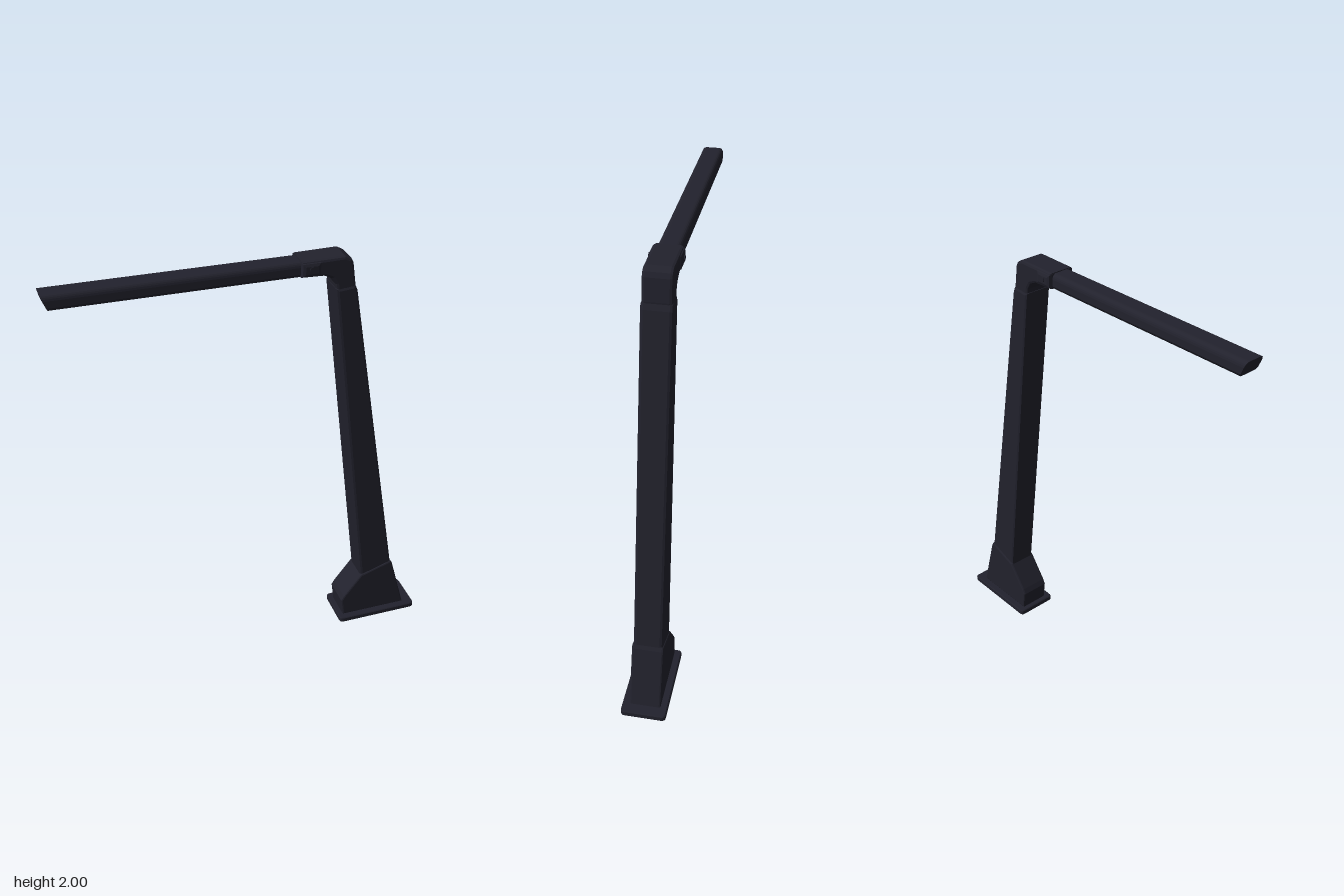
import * as THREE from 'three';

const body = new THREE.MeshStandardMaterial({ color: 0x22222d });
body.name = 'darkNavy';

// Side outline in x/y, extruded to a total width in z with chamfered edges
function slab(name, points, width, bevel) {
  const shape = new THREE.Shape(points.map(([x, y]) => new THREE.Vector2(x, y)));
  const geo = new THREE.ExtrudeGeometry(shape, {
    depth: width - 2 * bevel, bevelEnabled: true, bevelThickness: bevel,
    bevelSize: bevel, bevelOffset: -bevel, bevelSegments: 2,
  });
  geo.translate(0, 0, -width / 2 + bevel);
  const mesh = new THREE.Mesh(geo, body);
  mesh.name = name;
  return mesh;
}

// Arm: a rounded section swept along x with a slanted tip
function makeArm() {
  const s = new THREE.Shape();
  s.moveTo(-0.049, 1.945);
  s.lineTo(-0.04, 1.932);
  s.lineTo(0.04, 1.932);
  s.lineTo(0.049, 1.945);
  s.lineTo(0.049, 1.975);
  s.quadraticCurveTo(0.047, 1.998, 0.028, 1.998);
  s.lineTo(-0.028, 1.998);
  s.quadraticCurveTo(-0.047, 1.998, -0.049, 1.975);
  s.closePath();
  const geo = new THREE.ExtrudeGeometry(s, { depth: 1.1, bevelEnabled: false, curveSegments: 5 });
  geo.rotateY(-Math.PI / 2);
  geo.translate(0.24, 0, 0);
  const p = geo.attributes.position;
  for (let i = 0; i < p.count; i++) {
    const y = p.getY(i);
    if (p.getX(i) < 0) p.setX(i, -0.858 + (1.998 - y) * 0.4);
    else p.setY(i, y - 0.004);
  }
  geo.computeVertexNormals();
  const mesh = new THREE.Mesh(geo, body);
  mesh.name = 'arm';
  return mesh;
}

export function createModel() {
  const group = new THREE.Group();
  group.name = 'bracketArm';

  // Foot plate, with rounded corners seen from above
  const r = 0.02, x0 = 0.45, x1 = 0.858, z = 0.102;
  const plate = new THREE.Shape();
  plate.moveTo(x0 + r, -z);
  plate.lineTo(x1 - r, -z);
  plate.quadraticCurveTo(x1, -z, x1, -z + r);
  plate.lineTo(x1, z - r);
  plate.quadraticCurveTo(x1, z, x1 - r, z);
  plate.lineTo(x0 + r, z);
  plate.quadraticCurveTo(x0, z, x0, z - r);
  plate.lineTo(x0, -z + r);
  plate.quadraticCurveTo(x0, -z, x0 + r, -z);
  const plateGeo = new THREE.ExtrudeGeometry(plate, {
    depth: 0.02, bevelThickness: 0.004, bevelSize: 0.004, bevelOffset: -0.004,
    bevelSegments: 1, curveSegments: 4,
  });
  plateGeo.rotateX(-Math.PI / 2);
  plateGeo.translate(0, 0.004, 0);
  const foot = new THREE.Mesh(plateGeo, body);
  foot.name = 'footPlate';
  group.add(foot);

  // Boot around the bottom of the post
  group.add(slab('boot', [
    [0.475, 0.024], [0.462, 0.12], [0.475, 0.145], [0.563, 0.265], [0.72, 0.318], [0.73, 0.3], [0.808, 0.024],
  ], 0.142, 0.008));

  // Leaning tapered post
  group.add(slab('post', [[0.575, 0.15], [0.75, 0.15], [0.452, 1.84], [0.44, 1.868], [0.352, 1.86]], 0.13, 0.013));

  // Elbow joining post and arm
  group.add(slab('elbow', [
    [0.362, 1.82], [0.44, 1.82], [0.442, 1.87], [0.428, 1.965], [0.418, 1.985], [0.39, 2.0], [0.2, 1.998],
    [0.2, 1.928], [0.3, 1.924], [0.335, 1.908], [0.352, 1.88],
  ], 0.122, 0.012));

  // Collar where the arm enters the elbow
  group.add(slab('collar', [[0.198, 1.93], [0.285, 1.93], [0.285, 1.994], [0.198, 1.994]], 0.136, 0.016));

  group.add(makeArm());

  // Bolt heads on both sides of the collar
  for (const side of [1, -1]) {
    const bolt = new THREE.Mesh(new THREE.CylinderGeometry(0.011, 0.011, 0.006, 12), body);
    bolt.name = 'bolt';
    bolt.rotation.x = Math.PI / 2;
    bolt.position.set(0.24, 1.965, side * 0.069);
    group.add(bolt);
  }
  return group;
}
